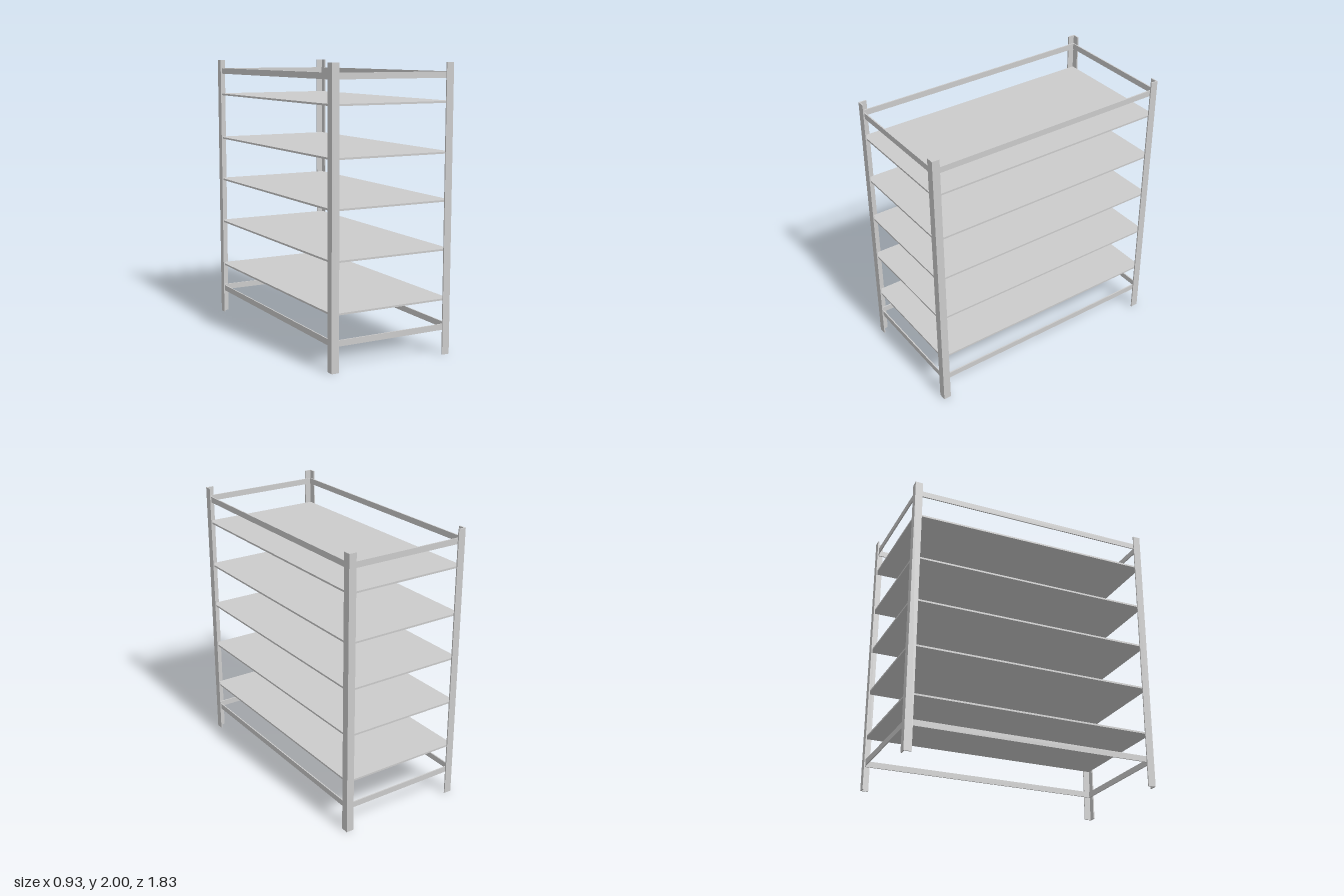
import * as THREE from 'three';

const HX = 0.463, HZ = 0.913, HEIGHT = 2; // outer half sizes and height
const LEG = 0.055, T = 0.009;             // angle-iron flange width and thickness

export function createModel() {
  const rack = new THREE.Group();
  rack.name = 'shelfRack';
  const material = new THREE.MeshStandardMaterial({ color: 0xcccccc });

  const addBox = (name, w, h, d, x, y, z) => {
    const mesh = new THREE.Mesh(new THREE.BoxGeometry(w, h, d), material);
    mesh.name = name;
    mesh.position.set(x, y, z);
    rack.add(mesh);
  };

  // Corner posts: L-section angle irons with the corner facing outwards
  for (const sx of [1, -1]) for (const sz of [1, -1]) {
    const points = [[0, 0], [LEG, 0], [LEG, T], [T, T], [T, LEG], [0, LEG]]
      .map(([a, b]) => new THREE.Vector2(sx * (HX - a), -sz * (HZ - b)));
    const geometry = new THREE.ExtrudeGeometry(new THREE.Shape(points), { depth: HEIGHT, bevelEnabled: false });
    geometry.rotateX(-Math.PI / 2);
    const post = new THREE.Mesh(geometry, material);
    post.name = `${sz > 0 ? 'front' : 'back'}${sx > 0 ? 'Left' : 'Right'}Post`;
    rack.add(post);
  }

  // Flat rails inside the posts, near the bottom and the top
  const ix = HX - T, iz = HZ - T, railHeight = 0.042;
  for (const [level, y] of [['lower', 0.196], ['upper', 1.917]]) {
    for (const s of [1, -1]) {
      addBox(`${level}${s > 0 ? 'Left' : 'Right'}Rail`, T, railHeight, 2 * iz, s * (ix - T / 2), y, 0);
      addBox(`${level}${s > 0 ? 'Front' : 'Back'}Rail`, 2 * (ix - T), railHeight, T, 0, y, s * (iz - T / 2));
    }
  }

  // Shelf boards
  [0.39, 0.736, 1.072, 1.398, 1.737].forEach((y, i) =>
    addBox(`shelf${i + 1}`, 2 * ix, 0.013, 2 * iz, 0, y, 0));

  return rack;
}
